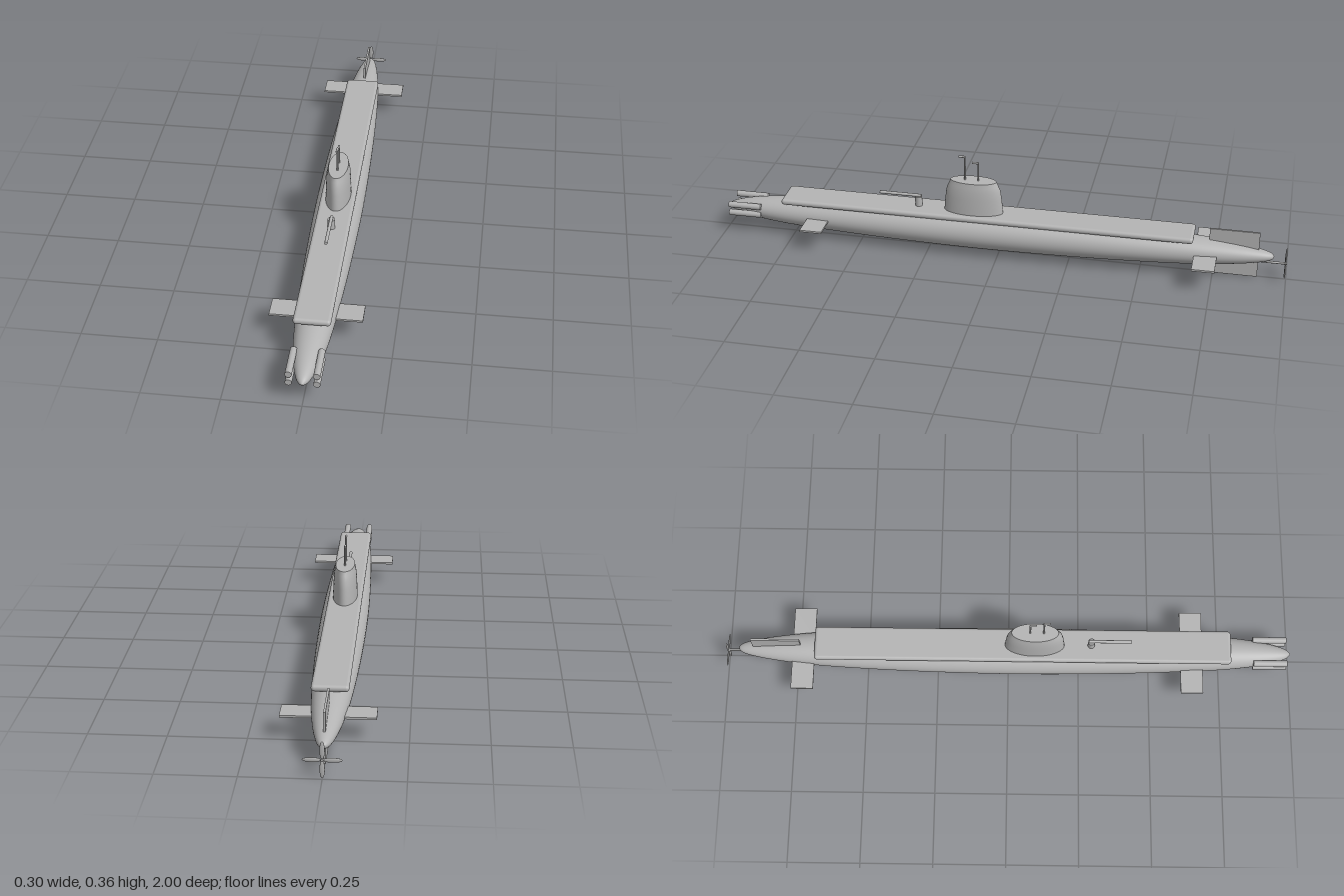
import * as THREE from 'three';
import { RoundedBoxGeometry } from 'three/addons/geometries/RoundedBoxGeometry.js';

export function createModel() {
  const sub = new THREE.Group();
  sub.name = 'submarine';
  const grey = new THREE.MeshStandardMaterial({ color: 0xb4b4b4 });
  grey.name = 'hull grey';

  const add = (name, geometry, x = 0, y = 0, z = 0, parent = sub) => {
    const mesh = new THREE.Mesh(geometry, grey);
    mesh.name = name;
    mesh.position.set(x, y, z);
    parent.add(mesh);
    return mesh;
  };
  const rod = (radius, length, sides = 16) =>
    new THREE.CylinderGeometry(radius, radius, length, sides).rotateX(Math.PI / 2);

  // Hull: smooth spindle with a slightly flattened section
  const hullStations = [
    [0, -0.955], [0.01, -0.95], [0.02, -0.932], [0.033, -0.88], [0.046, -0.8], [0.059, -0.68],
    [0.07, -0.5], [0.079, -0.25], [0.083, 0.05], [0.079, 0.32], [0.07, 0.57], [0.058, 0.77],
    [0.044, 0.88], [0.028, 0.95], [0.014, 0.985], [0, 0.998],
  ].map(([r, z]) => new THREE.Vector3(r, z, 0));
  const hullProfile = new THREE.CatmullRomCurve3(hullStations).getPoints(60)
    .map((p) => new THREE.Vector2(Math.max(p.x, 0), p.y));
  const hull = new THREE.LatheGeometry(hullProfile, 48);
  hull.rotateX(Math.PI / 2).scale(1, 0.82, 1);
  add('hull', hull, 0, 0.088, 0);

  // Flat walking deck with rounded edges
  add('deck', new RoundedBoxGeometry(0.12, 0.022, 1.46, 4, 0.0105), 0, 0.146, 0.05);

  // Sail: tapering oval tower with a flat roof
  const sail = new THREE.Group();
  sail.name = 'sail';
  sail.position.set(0, 0, 0.092);
  sub.add(sail);
  const sailProfile = [
    [0.0435, 0.145], [0.0425, 0.18], [0.041, 0.215], [0.0392, 0.243], [0.036, 0.26], [0.0335, 0.275],
  ].map(([r, y]) => new THREE.Vector2(r, y));
  add('sailWall', new THREE.LatheGeometry(sailProfile, 40).scale(1, 1, 2.42), 0, 0, 0, sail);
  add('sailRoof', new THREE.CircleGeometry(0.0335, 40).rotateX(-Math.PI / 2).scale(1, 1, 2.42), 0, 0.275, 0, sail);

  // Periscopes: thin masts with a forward-pointing head
  for (const [z, top] of [[0.122, 0.362], [0.075, 0.342]]) {
    const periscope = new THREE.Group();
    periscope.name = 'periscope';
    sub.add(periscope);
    add('mast', new THREE.CylinderGeometry(0.003, 0.003, top - 0.26, 12), 0, (top + 0.26) / 2, z, periscope);
    add('elbow', new THREE.SphereGeometry(0.0034, 12, 8), 0, top, z, periscope);
    add('head', rod(0.0038, 0.022, 12), 0, top, z + 0.01, periscope);
  }

  // Deck gun
  const gun = new THREE.Group();
  gun.name = 'deckGun';
  sub.add(gun);
  add('pedestal', new THREE.CylinderGeometry(0.0125, 0.0125, 0.04, 20), 0, 0.172, 0.29, gun);
  add('barrel', rod(0.0055, 0.15), 0, 0.195, 0.355, gun);

  for (const side of [-1, 1]) {
    // Bow and stern diving planes
    add('bowPlane', new THREE.BoxGeometry(0.12, 0.007, 0.078), side * 0.09, 0.09, 0.646);
    add('sternPlane', new THREE.BoxGeometry(0.12, 0.007, 0.078), side * 0.09, 0.09, -0.724);
    // Torpedo tubes, two on each side of the bow
    for (const y of [0.079, 0.11]) {
      add('torpedoTube', rod(0.011, 0.118, 20), side * 0.0435, y, 0.922);
    }
  }

  // Rudder passes through the tail
  add('rudder', new THREE.BoxGeometry(0.007, 0.17, 0.17), 0, 0.09, -0.817);

  // Propeller on its shaft
  const propeller = new THREE.Group();
  propeller.name = 'propeller';
  propeller.position.set(0, 0.066, -0.995);
  sub.add(propeller);
  add('shaft', rod(0.004, 0.12), 0, 0, 0.055, propeller);
  add('hub', new THREE.SphereGeometry(0.006, 16, 10), 0, 0, 0.001, propeller);
  for (let i = 0; i < 4; i++) {
    const a = (i * Math.PI) / 2;
    const blade = new THREE.SphereGeometry(1, 20, 12).scale(0.008, 0.029, 0.003);
    add('blade', blade, -Math.sin(a) * 0.031, Math.cos(a) * 0.031, 0, propeller).rotation.z = a;
  }

  return sub;
}
